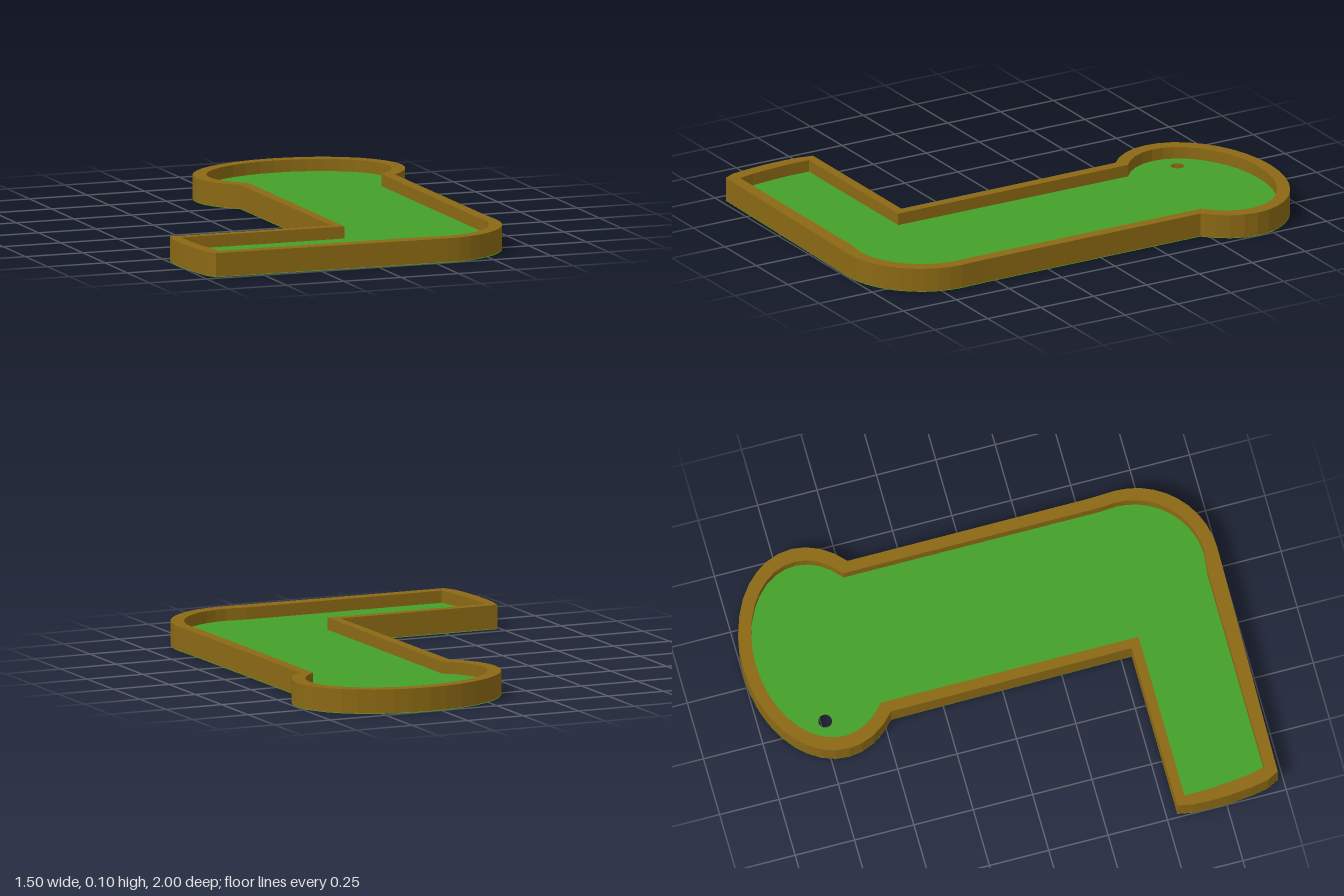
import * as THREE from 'three';

const V = (x, z) => new THREE.Vector2(x, -z); // plan coordinates, laid flat later

// Points of an elliptical arc in plan, angles in degrees (0 = +x, 90 = back)
function arc(cx, cz, rx, rz, from, to, steps) {
  const pts = [];
  for (let i = 0; i <= steps; i++) {
    const a = THREE.MathUtils.degToRad(from + (to - from) * i / steps);
    pts.push(V(cx + rx * Math.cos(a), cz - rz * Math.sin(a)));
  }
  return pts;
}

// Outer edge of the wall: round head, inner elbow, bowed end, outer bend
const outerEdge = [
  ...arc(0.30, -0.68, 0.447, 0.32, -41, 221, 26),
  V(-0.03, 0.545), V(-0.735, 0.545),
  V(-0.747, 0.61), V(-0.75, 0.68), V(-0.748, 0.76), V(-0.738, 0.86), V(-0.725, 0.93), V(-0.70, 0.978),
  ...arc(0.30, 0.66, 0.345, 0.335, -90, 0, 10),
  V(0.64, 0.545),
];

// Inner edge of the wall, around the green
const innerEdge = [
  ...arc(0.30, -0.68, 0.39, 0.268, -42, 222, 26),
  V(0.01, 0.585), V(-0.70, 0.585),
  V(-0.70, 0.68), V(-0.692, 0.78), V(-0.682, 0.86), V(-0.667, 0.93), V(0.21, 0.93),
  ...arc(0.30, 0.645, 0.295, 0.295, -90, 0, 10),
  V(0.59, 0.585),
];

export function createModel() {
  const group = new THREE.Group();
  const wood = new THREE.MeshStandardMaterial({ color: 0x8b6914, flatShading: true });
  const green = new THREE.MeshStandardMaterial({ color: 0x44a028, flatShading: true, side: THREE.DoubleSide });

  const add = (name, geometry, material, y) => {
    geometry.rotateX(-Math.PI / 2);
    geometry.translate(0, y, 0);
    const mesh = new THREE.Mesh(geometry, material);
    mesh.name = name;
    group.add(mesh);
  };

  const ring = new THREE.Shape(outerEdge);
  ring.holes.push(new THREE.Path(innerEdge));

  // Raised border wall
  add('borderWall', new THREE.ExtrudeGeometry(ring, { depth: 0.098, bevelEnabled: false }), wood, 0.002);

  // Green underside of the wall
  add('wallUnderside', new THREE.ShapeGeometry(ring), green, 0);

  // Putting surface with its cup hole
  const surface = new THREE.Shape(innerEdge);
  surface.holes.push(new THREE.Path(arc(0.01, -0.735, 0.028, 0.028, 360, 15, 23)));
  add('puttingSurface', new THREE.ShapeGeometry(surface), green, 0.05);

  return group;
}
